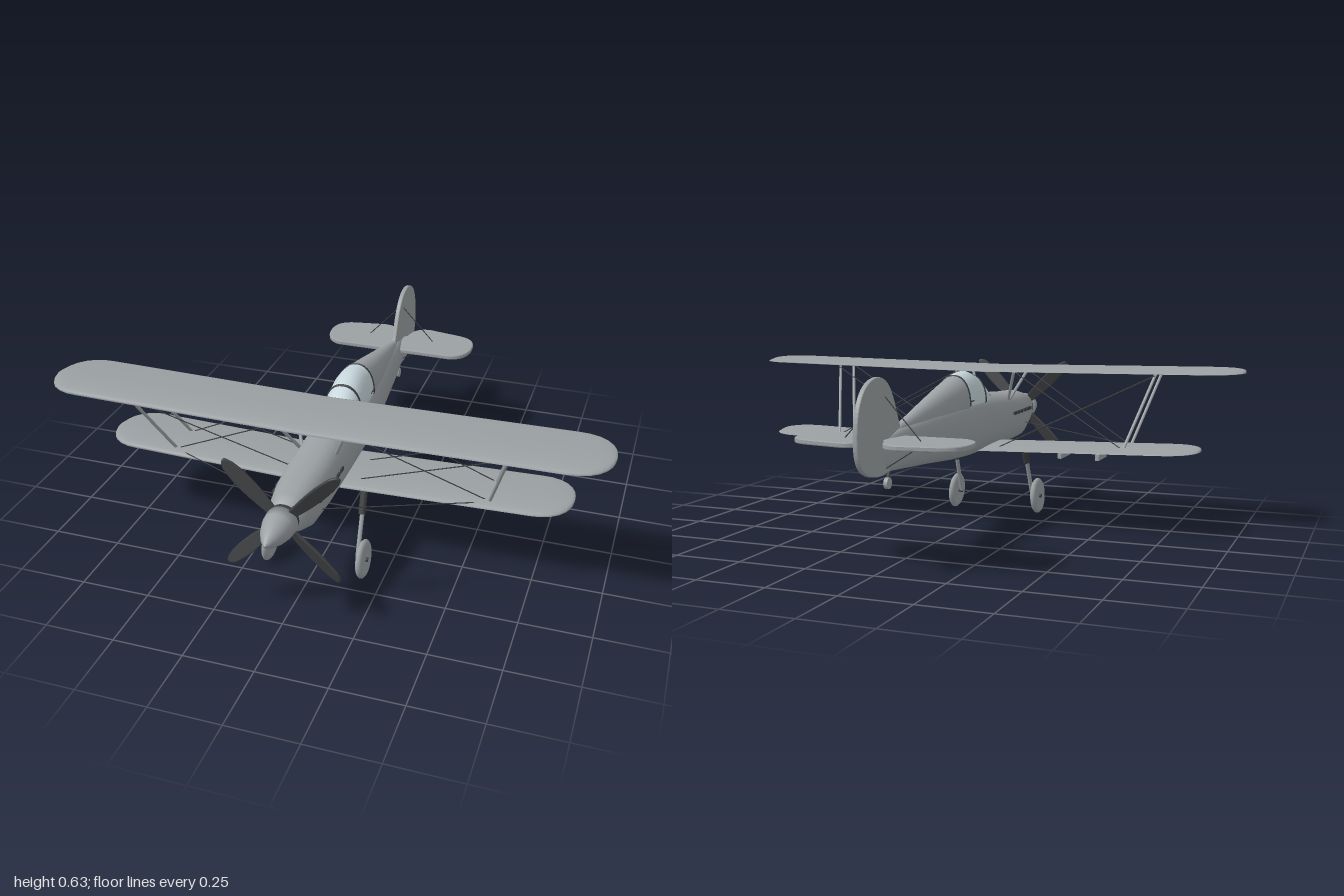
import * as THREE from 'three';

const V = (x, y, z) => new THREE.Vector3(x, y, z);
const mat = (name, color, side = THREE.FrontSide) => {
  const m = new THREE.MeshStandardMaterial({ color, side });
  m.name = name;
  return m;
};

// Smooth skin over closed rings of equal point count
function skin(rings) {
  const n = rings[0].length, index = [];
  for (let i = 0; i < rings.length - 1; i++) for (let j = 0; j < n; j++) {
    const k = (j + 1) % n, a = i * n, b = a + n;
    index.push(a + j, b + j, a + k, b + j, b + k, a + k);
  }
  const g = new THREE.BufferGeometry().setFromPoints(rings.flat());
  g.setIndex(index);
  g.computeVertexNormals();
  return g;
}

// Body loft, front to back; each section is [z, centreY, halfWidth, up, down]
function bodyLoft(sections, exp = 2.4, n = 32) {
  const pow = (v) => Math.sign(v) * Math.abs(v) ** (2 / exp);
  return skin(sections.map(([z, cy, hw, up, down]) => Array.from({ length: n }, (_, j) => {
    const a = (j / n) * Math.PI * 2, s = pow(Math.sin(a));
    return V(hw * pow(Math.cos(a)), cy + s * (s > 0 ? up : down), z);
  })));
}

// Full-span wing with rounded tips and slight dihedral
function wing(span, tip, z, chord, y, rise) {
  const xs = [1, 0.985, 0.94, 0.85, 0.7, 0.5, 0.25, 0].map((t) => span - tip + tip * t);
  const all = [...xs, 0, ...xs.slice().reverse().map((x) => -x)];
  return skin(all.map((x) => {
    const t = Math.max(0, (Math.abs(x) - span + tip) / tip);
    const k = Math.max(0.01, (1 - t ** 2.3) ** (1 / 2.3)), thick = 0.022 * Math.sqrt(k);
    const cy = y + rise * (Math.abs(x) / span);
    return Array.from({ length: 24 }, (_, j) => {
      const a = (j / 24) * Math.PI * 2, s = Math.sin(a), c = Math.cos(a);
      return V(x, cy + thick * c * (0.65 + 0.35 * s) * (c > 0 ? 1 : 0.45), z + chord * 0.5 * k * s);
    });
  }));
}

function plate(shape, depth) {
  const b = 0.004;
  const g = new THREE.ExtrudeGeometry(shape, {
    depth: depth - 2 * b, bevelEnabled: true, bevelThickness: b, bevelSize: b, bevelOffset: -b, bevelSegments: 2, curveSegments: 16,
  });
  return g.translate(0, 0, -depth / 2 + b);
}

export function createModel() {
  const model = new THREE.Group();
  model.name = 'biplane';
  const grey = mat('airframe grey', 0x9ba0a3);
  const dark = mat('dark metal', 0x3c3e40);
  const glass = mat('canopy glass', 0xc6d6db);

  const add = (name, geo, material = grey) => {
    const m = new THREE.Mesh(geo, material);
    m.name = name;
    model.add(m);
    return m;
  };
  const rod = (name, a, b, r, material = grey, sides = 8) => {
    const m = add(name, new THREE.CylinderGeometry(r, r, a.distanceTo(b), sides), material);
    m.position.copy(a).add(b).multiplyScalar(0.5);
    m.quaternion.setFromUnitVectors(V(0, 1, 0), b.clone().sub(a).normalize());
    return m;
  };

  // Fuselage
  add('fuselage', bodyLoft([
    [0.7, 0.395, 0.002, 0.002, 0.002], [0.7, 0.395, 0.056, 0.055, 0.055], [0.66, 0.395, 0.065, 0.068, 0.078],
    [0.58, 0.395, 0.078, 0.083, 0.113], [0.46, 0.395, 0.086, 0.088, 0.115], [0.2, 0.395, 0.086, 0.108, 0.115],
    [0, 0.395, 0.084, 0.115, 0.115], [-0.15, 0.395, 0.074, 0.11, 0.108], [-0.35, 0.395, 0.055, 0.09, 0.092],
    [-0.55, 0.39, 0.034, 0.07, 0.074], [-0.63, 0.385, 0.02, 0.055, 0.064], [-0.7, 0.385, 0.006, 0.04, 0.055],
    [-0.7, 0.385, 0.001, 0.001, 0.001],
  ]));
  add('rearSpine', bodyLoft([
    [-0.07, 0.48, 0.066, 0.107, 0.05], [-0.2, 0.47, 0.055, 0.086, 0.04], [-0.4, 0.45, 0.035, 0.056, 0.03],
    [-0.55, 0.44, 0.018, 0.027, 0.03], [-0.62, 0.43, 0.004, 0.01, 0.01],
  ], 2.2));

  // Canopy with frames
  add('canopy', bodyLoft([
    [0.21, 0.48, 0.04, 0.015, 0.01], [0.16, 0.48, 0.06, 0.058, 0.01], [0.09, 0.48, 0.067, 0.1, 0.01],
    [0.03, 0.48, 0.068, 0.119, 0.01], [-0.02, 0.48, 0.068, 0.117, 0.01], [-0.07, 0.48, 0.066, 0.107, 0.01],
  ], 2.2), glass);
  for (const [z, hw, up] of [[0.094, 0.068, 0.1], [-0.067, 0.067, 0.109]]) {
    add('canopyFrame', bodyLoft([
      [z + 0.003, 0.48, hw - 0.004, up - 0.004, 0.01], [z + 0.003, 0.48, hw + 0.002, up + 0.002, 0.01],
      [z - 0.003, 0.48, hw + 0.002, up + 0.002, 0.01], [z - 0.003, 0.48, hw - 0.004, up - 0.004, 0.01],
    ], 2.2), dark);
  }

  // Spinner and four-bladed propeller
  const nose = [[0.001, 0.15], [0.012, 0.14], [0.028, 0.115], [0.043, 0.08], [0.053, 0.04], [0.056, 0], [0.001, 0]];
  add('spinner', new THREE.LatheGeometry(nose.map(([r, y]) => new THREE.Vector2(r, y)).reverse(), 28)
    .rotateX(Math.PI / 2).translate(0, 0.395, 0.72));
  add('propellerHub', new THREE.CylinderGeometry(0.052, 0.052, 0.03, 24).rotateX(Math.PI / 2).translate(0, 0.395, 0.712), dark);
  const blade = new THREE.Shape();
  blade.moveTo(-0.014, 0.03);
  blade.bezierCurveTo(-0.02, 0.1, -0.034, 0.16, -0.022, 0.25);
  blade.quadraticCurveTo(-0.012, 0.283, 0.006, 0.276);
  blade.bezierCurveTo(0.032, 0.24, 0.03, 0.12, 0.014, 0.03);
  for (let i = 0; i < 4; i++) {
    const m = add('propellerBlade', plate(blade, 0.011).rotateY(0.35), dark);
    m.position.set(0, 0.395, 0.72);
    m.rotation.z = Math.PI / 4 + (i * Math.PI) / 2;
  }

  // Wings
  add('upperWing', wing(0.995, 0.14, 0.343, 0.285, 0.583, 0.014));
  add('lowerWing', wing(0.865, 0.13, 0.187, 0.272, 0.294, 0.024));

  // Tail surfaces
  const fin = new THREE.Shape();
  fin.moveTo(-0.54, 0.44);
  fin.bezierCurveTo(-0.59, 0.5, -0.6, 0.63, -0.72, 0.635);
  fin.bezierCurveTo(-0.83, 0.63, -0.87, 0.55, -0.87, 0.45);
  fin.bezierCurveTo(-0.87, 0.36, -0.83, 0.32, -0.7, 0.315);
  fin.lineTo(-0.56, 0.33);
  add('finAndRudder', plate(fin, 0.018).rotateY(-Math.PI / 2));

  for (const s of [1, -1]) {
    const stab = new THREE.Shape();
    stab.moveTo(0, -0.56);
    stab.lineTo(s * 0.23, -0.56);
    stab.bezierCurveTo(s * 0.28, -0.565, s * 0.305, -0.61, s * 0.305, -0.665);
    stab.bezierCurveTo(s * 0.305, -0.73, s * 0.28, -0.755, s * 0.22, -0.765);
    stab.lineTo(s * 0.1, -0.785);
    stab.quadraticCurveTo(s * 0.03, -0.785, s * 0.022, -0.7);
    stab.lineTo(0, -0.68);
    add('tailplane', plate(stab, 0.018).rotateX(Math.PI / 2).translate(0, 0.422, 0));
    rod('tailWireUpper', V(s * 0.14, 0.425, -0.675), V(s * 0.006, 0.57, -0.67), 0.002, dark, 5);
    rod('tailWireLower', V(s * 0.14, 0.42, -0.675), V(s * 0.006, 0.335, -0.67), 0.002, dark, 5);

    // Struts between the wings
    const P = (x, y, z) => V(s * x, y, z);
    rod('frontStrut', P(0.667, 0.588, 0.44), P(0.585, 0.31, 0.275), 0.006);
    rod('rearStrut', P(0.667, 0.588, 0.32), P(0.585, 0.31, 0.145), 0.006);
    rod('frontCabaneStrut', P(0.12, 0.58, 0.44), P(0.06, 0.45, 0.362), 0.006);
    rod('rearCabaneStrut', P(0.12, 0.58, 0.26), P(0.06, 0.45, 0.362), 0.006);

    // Bracing wires
    for (const [a, b] of [
      [P(0.585, 0.315, 0.145), P(0.12, 0.58, 0.27)], [P(0.1, 0.3, 0.12), P(0.667, 0.58, 0.3)],
      [P(0.585, 0.315, 0.275), P(0.12, 0.58, 0.43)], [P(0.1, 0.3, 0.26), P(0.667, 0.58, 0.43)],
      [P(0.07, 0.35, 0.55), P(0.585, 0.315, 0.28)],
    ]) rod('bracingWire', a, b, 0.002, dark, 5);

    // Racks under the lower wing
    for (const x of [0.345, 0.49]) {
      const rack = add('wingRack', new THREE.BoxGeometry(0.014, 0.022, 0.115));
      rack.position.set(s * x, 0.28, 0.2);
    }

    // Exhaust stubs and canopy rail
    for (let i = 0; i < 6; i++) {
      const stub = add('exhaustStub', new THREE.BoxGeometry(0.014, 0.012, 0.026), dark);
      stub.position.set(s * (i ? 0.084 : 0.08), 0.406, 0.575 - i * 0.04);
    }
    rod('canopyRail', P(0.052, 0.496, 0.18), P(0.067, 0.495, -0.07), 0.003, dark, 6);

    // Main landing gear
    rod('gearSleeve', P(0.147, 0.3, 0.303), P(0.15, 0.215, 0.342), 0.013, dark, 12);
    rod('gearLeg', P(0.15, 0.25, 0.326), P(0.154, 0.07, 0.405), 0.008, grey, 12);
    rod('axle', P(0.15, 0.07, 0.405), P(0.192, 0.07, 0.405), 0.008, dark, 12);
    const profile = [[0.001, -0.009], [0.042, -0.009], [0.048, -0.012], [0.062, -0.011], [0.07, -0.004],
      [0.07, 0.004], [0.062, 0.011], [0.048, 0.012], [0.042, 0.009], [0.001, 0.009]];
    const wheel = add('wheel', new THREE.LatheGeometry(profile.map(([r, y]) => new THREE.Vector2(r, y)), 32).rotateZ(Math.PI / 2));
    wheel.position.set(s * 0.176, 0.0705, 0.405);
    wheel.rotation.z = s * 0.05;
  }

  // Belly intake ring and tail wheel
  add('bellyIntake', new THREE.TorusGeometry(0.022, 0.006, 8, 20).rotateX(Math.PI / 2).translate(0, 0.277, 0.33), dark);
  rod('tailWheelStrut', V(0, 0.34, -0.62), V(0, 0.285, -0.64), 0.006, dark);
  add('tailWheel', new THREE.CylinderGeometry(0.019, 0.019, 0.014, 18).rotateZ(Math.PI / 2).translate(0, 0.283, -0.64));

  return model;
}
